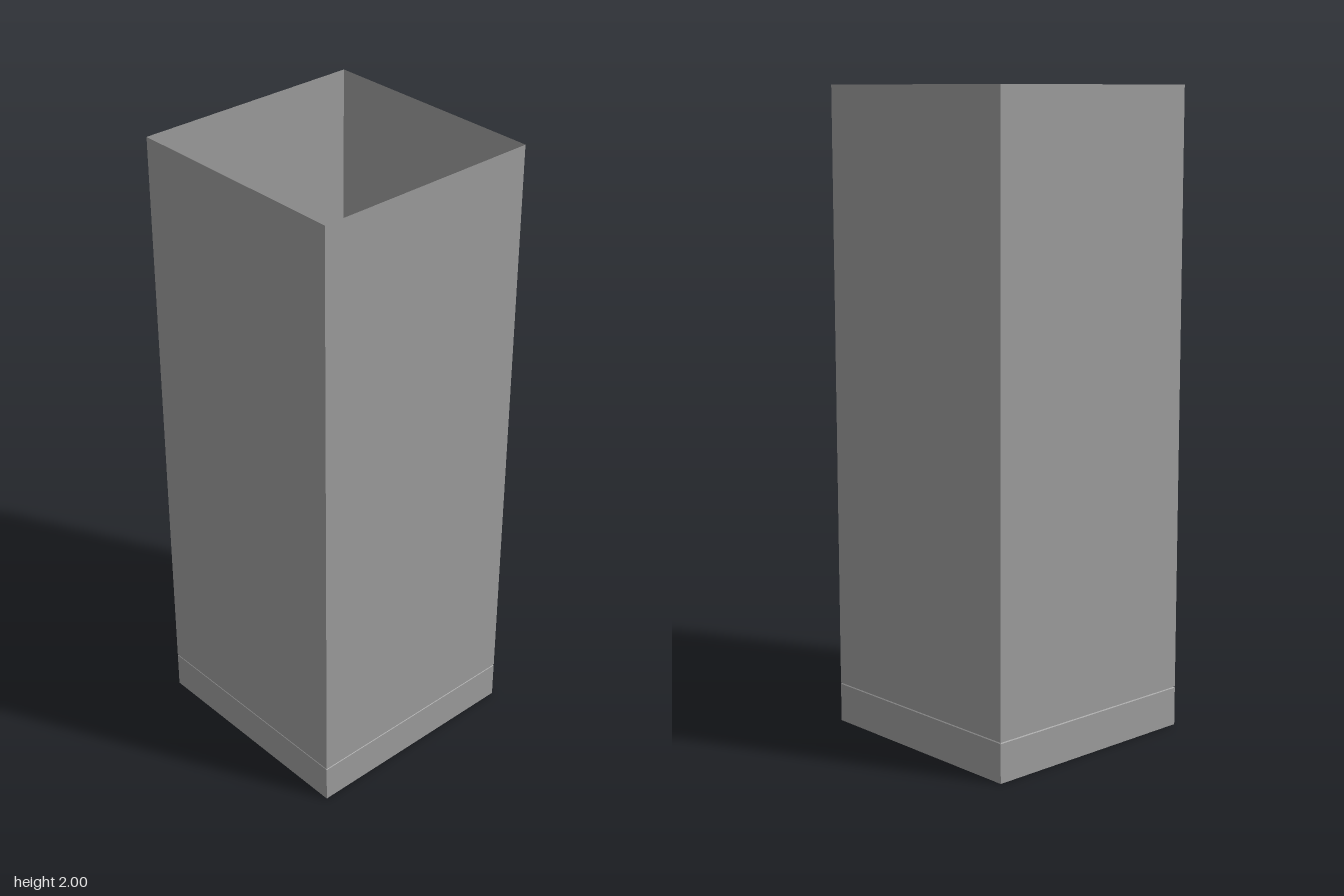
import * as THREE from 'three';
import { toCreasedNormals } from 'three/addons/utils/BufferGeometryUtils.js';

// Joins scaled copies of one outline [x, z]; each ring is [scale, y]
function loft(outline, rings, topY = null) {
  const n = outline.length;
  const pos = [];
  const index = [];
  for (const [s, y] of rings) {
    for (const [x, z] of outline) pos.push(x * s, y, z * s);
  }
  for (let r = 0; r < rings.length - 1; r++) {
    for (let i = 0; i < n; i++) {
      const j = (i + 1) % n;
      const a = r * n;
      const b = a + n;
      index.push(a + i, b + i, b + j, a + i, b + j, a + j);
    }
  }
  // Optional closing fan on top
  if (topY !== null) {
    const c = rings.length * n;
    const b = c - n;
    pos.push(0, topY, 0);
    for (let i = 0; i < n; i++) index.push(c, b + ((i + 1) % n), b + i);
  }
  const geo = new THREE.BufferGeometry();
  geo.setAttribute('position', new THREE.Float32BufferAttribute(pos, 3));
  geo.setIndex(index);
  geo.computeVertexNormals();
  return geo;
}

const SQUARE = [[1, -1], [1, 1], [-1, 1], [-1, -1]];
const STONE = [
  [-0.255, -0.01], [-0.23, -0.065], [-0.19, -0.115], [-0.1, -0.15],
  [-0.015, -0.165], [0.1, -0.15], [0.19, -0.12], [0.235, -0.07],
  [0.25, 0], [0.23, 0.07], [0.18, 0.11], [0.1, 0.142],
  [0, 0.15], [-0.1, 0.15], [-0.18, 0.118], [-0.23, 0.07],
];

export function createModel() {
  const model = new THREE.Group();
  const grey = new THREE.MeshStandardMaterial({ color: 0x9c9c9c, side: THREE.DoubleSide });
  grey.name = 'plain grey';

  const add = (name, geo) => {
    const mesh = new THREE.Mesh(geo, grey);
    mesh.name = name;
    model.add(mesh);
  };

  // Hollow plinth, open underneath, with a fine bevel round the top
  add('plinth', toCreasedNormals(
    loft(SQUARE, [[0.375, 0], [0.375, 0.121], [0.371, 0.125]], 0.125), 0.5));

  // Thin case walls, open at the top
  add('caseWalls', toCreasedNormals(loft(SQUARE, [[0.375, 0.125], [0.375, 2]]), 0.5));

  // Smaller raised step inside the case
  add('displayStep', toCreasedNormals(
    loft(SQUARE, [[0.3, 0.125], [0.3, 0.241], [0.296, 0.245]], 0.245), 0.5));

  // Smooth standing stone on the step
  add('displayStone', loft(STONE, [
    [0.7, 0.245], [0.88, 0.35], [0.98, 0.5], [1, 0.65],
    [0.96, 0.8], [0.88, 0.92], [0.74, 1.02], [0.45, 1.08],
  ], 1.1));

  return model;
}
